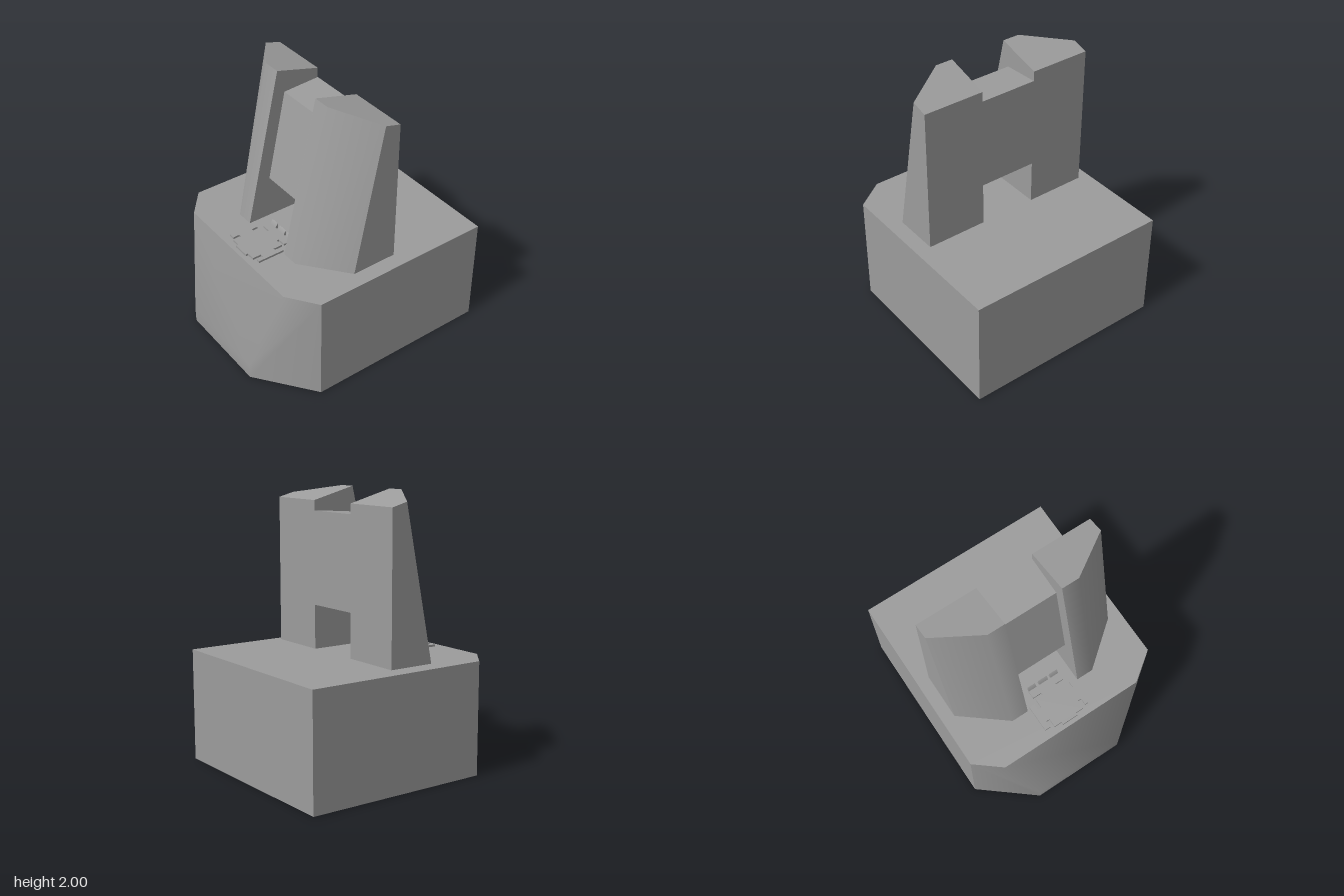
import * as THREE from 'three';
import { ConvexGeometry } from 'three/addons/geometries/ConvexGeometry.js';
import { toCreasedNormals } from 'three/addons/utils/BufferGeometryUtils.js';

const material = new THREE.MeshStandardMaterial({ color: 0x9c9c9c });

// Solid spanned by its corner points: shallow edges are shaded smooth, steep ones sharp
function solid(name, corners) {
  const points = corners.map(([x, y, z]) => new THREE.Vector3(x, y, z));
  const geometry = toCreasedNormals(new ConvexGeometry(points), Math.PI / 4);
  const mesh = new THREE.Mesh(geometry, material);
  mesh.name = name;
  return mesh;
}

// Prism running along x, with a [y, z] side profile
function prism(name, x0, x1, profile) {
  return solid(name, [x0, x1].flatMap((x) => profile.map(([y, z]) => [x, y, z])));
}

// Block given by its extents
function block(name, x0, x1, y0, y1, z0, z1) {
  return prism(name, x0, x1, [[y0, z0], [y1, z0], [y1, z1], [y0, z1]]);
}

export function createModel() {
  const model = new THREE.Group();
  const axis = -0.006; // the upper parts sit slightly off centre

  // Base: box with cut front corners and a sloped front
  const baseRing = (y, front, left, right) => [
    [-0.77, y, -0.86], [0.77, y, -0.86], [0.77, y, 0.54],
    [right, y, front], [left, y, front], [-0.77, y, 0.54],
  ];
  model.add(solid('base', [
    ...baseRing(0, 0.86, -0.38, 0.35),
    ...baseRing(0.12, 0.86, -0.38, 0.35),
    ...baseRing(0.825, 0.695, -0.58, 0.555),
  ]));

  // Two mirrored towers leaning back, with angled fronts and sloped tops
  for (const [name, side] of [['leftTower', 1], ['rightTower', -1]]) {
    const inner = 0.215, knee = 0.345, outer = 0.67;
    model.add(solid(name, [
      [inner, 0.837, -0.162], [outer, 0.837, -0.162], [outer, 0.837, 0.183],
      [knee, 0.837, 0.444], [inner, 0.837, 0.444],
      [inner, 1.91, -0.162], [outer, 1.91, -0.162], [outer, 1.942, -0.042],
      [knee, 2, 0.174], [inner, 2, 0.174],
    ].map(([x, y, z]) => [axis + side * x, y, z])));
  }

  // Bridge panel between the towers
  model.add(prism('bridge', axis - 0.215, axis + 0.215,
    [[1.16, -0.162], [1.837, -0.162], [1.82, 0.119], [1.16, 0.264]]));

  // Low stepped plate in front of the towers
  const plate = new THREE.Group();
  plate.name = 'steppedPlate';
  const y0 = 0.825, y1 = 0.84;
  plate.add(
    block('plateCentre', -0.126, 0.121, y0, y1, 0.403, 0.645),
    block('plateFrontLip', -0.066, 0.059, y0, y1, 0.645, 0.664),
    block('plateNeck', -0.066, 0.059, y0, y1, 0.385, 0.403),
    block('plateRear', -0.135, 0.122, y0, y1, 0.325, 0.385),
    block('plateRightWing', -0.196, -0.126, y0, y1, 0.472, 0.58),
    block('plateRightRail', -0.196, -0.151, y0, y1, 0.424, 0.63),
    block('plateLeftWing', 0.121, 0.174, y0, y1, 0.472, 0.58),
    block('plateLeftRail', 0.149, 0.174, y0, y1, 0.424, 0.63),
  );
  // Three small slanted tabs along its rear edge
  for (const [x0, x1] of [[-0.132, -0.067], [-0.042, 0.034], [0.054, 0.122]]) {
    plate.add(prism('tab', x0, x1, [[y0, 0.305], [0.867, 0.305], [y1, 0.327], [y0, 0.327]]));
  }
  model.add(plate);
  return model;
}
